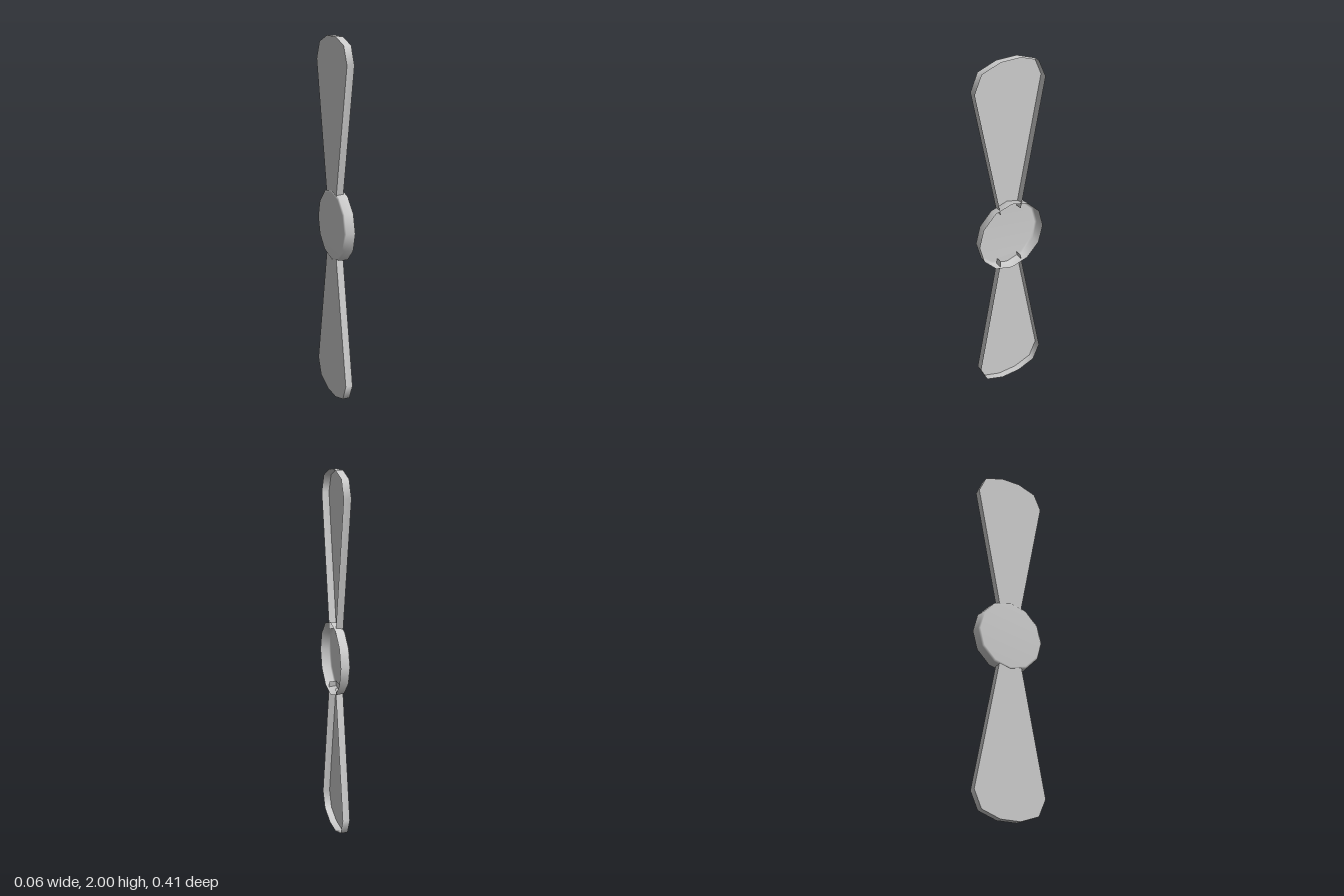
import * as THREE from 'three';

const HUB_Y = 1;
const BLADE_BACK = -0.024;
const BLADE_FRONT = 0.016;

// Fan-shaped blade outline (z, y above hub): one half, mirrored
const HALF = [[0.063, 0.15], [0.206, 0.87], [0.164, 0.963], [0.058, 1]];
const OUTLINE = [...HALF, ...HALF.map(([z, y]) => [-z, y]).reverse()];

// Flat plate closing the blade towards -x
function bladePlateGeometry() {
  const shape = new THREE.Shape(OUTLINE.map(([z, y]) => new THREE.Vector2(z, y)));
  return new THREE.ShapeGeometry(shape).rotateY(-Math.PI / 2).translate(BLADE_BACK, 0, 0);
}

// Thin wall around the plate, open at the root and towards +x
function bladeWallGeometry() {
  const positions = [];
  const indices = [];
  OUTLINE.forEach(([z, y], i) => {
    positions.push(BLADE_BACK, y, z, BLADE_FRONT, y, z);
    if (i === 0) return;
    const a = 2 * (i - 1);
    indices.push(a, a + 1, a + 3, a, a + 3, a + 2);
  });
  const geometry = new THREE.BufferGeometry();
  geometry.setAttribute('position', new THREE.Float32BufferAttribute(positions, 3));
  geometry.setIndex(indices);
  geometry.computeVertexNormals();
  return geometry;
}

// Shallow twelve-sided cup with a bevelled back, open towards +x
function hubGeometry() {
  const profile = [[0, -0.028], [0.186, -0.028], [0.198, -0.021], [0.203, 0.028]];
  const points = profile.map(([r, h]) => new THREE.Vector2(r, h));
  return new THREE.LatheGeometry(points, 12).rotateZ(-Math.PI / 2);
}

export function createModel() {
  const group = new THREE.Group();
  group.name = 'propeller';

  const metal = new THREE.MeshStandardMaterial({ color: 0xcccccc, side: THREE.DoubleSide });
  metal.name = 'light grey';

  const addMesh = (parent, name, geometry) => {
    const mesh = new THREE.Mesh(geometry, metal);
    mesh.name = name;
    parent.add(mesh);
    return mesh;
  };

  addMesh(group, 'hub', hubGeometry()).position.y = HUB_Y;

  // Two opposite hollow blades
  const plate = bladePlateGeometry();
  const wall = bladeWallGeometry();
  ['upperBlade', 'lowerBlade'].forEach((name, i) => {
    const blade = new THREE.Group();
    blade.name = name;
    blade.position.y = HUB_Y;
    blade.rotation.x = i * Math.PI;
    addMesh(blade, 'bladePlate', plate);
    addMesh(blade, 'bladeWall', wall);
    group.add(blade);
  });

  return group;
}
